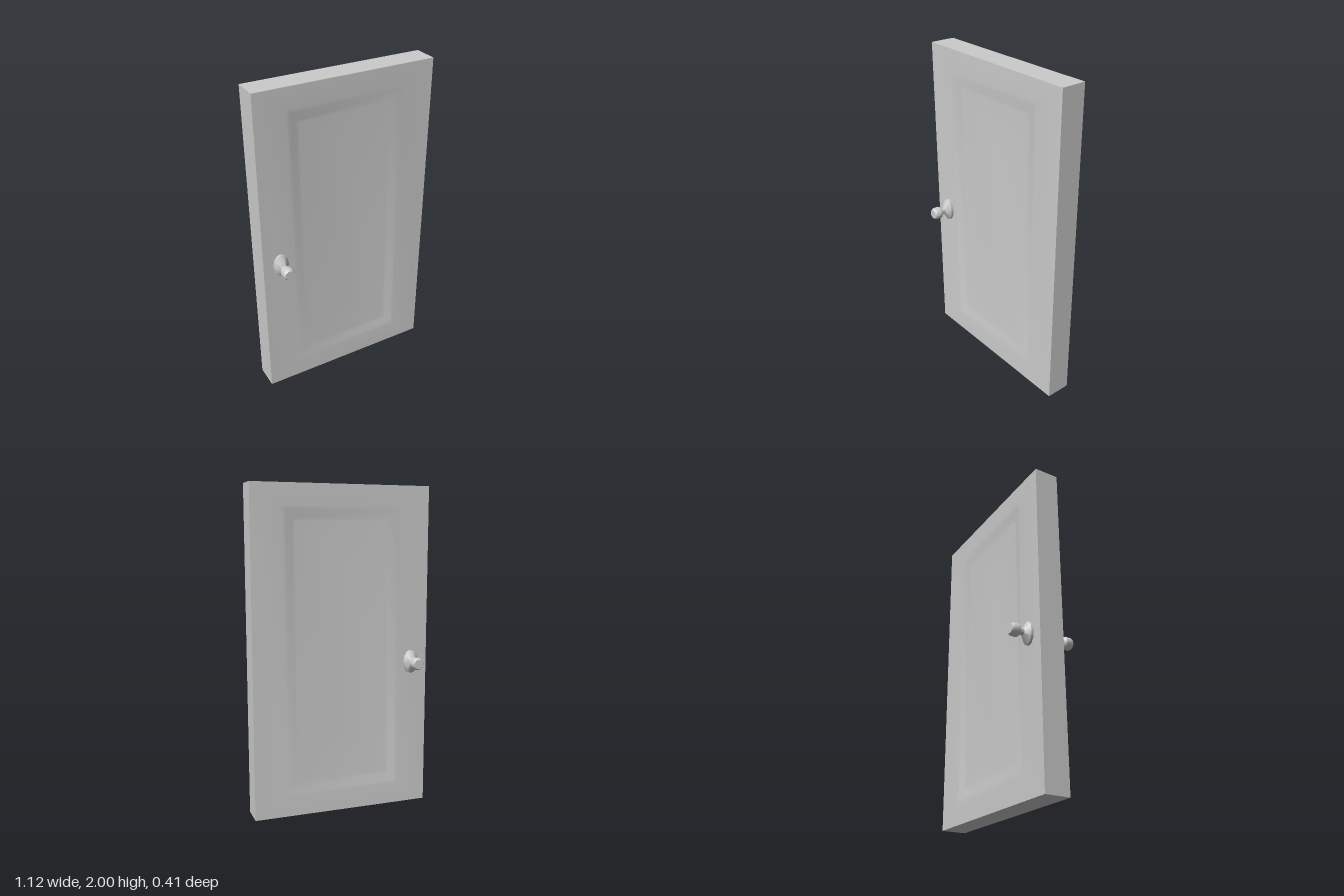
import * as THREE from 'three';
import { toCreasedNormals } from 'three/addons/utils/BufferGeometryUtils.js';

const material = new THREE.MeshStandardMaterial({ color: 0xcccccc });

// Door slab: rectangular rings lofted from the back centre, round the edge, to the front centre
function slabGeometry() {
  // half width, half height, z of each ring on the front face, centre outwards
  const front = [
    [0, 0.5, 0.062], [0.29, 0.78, 0.062], [0.31, 0.80, 0.064],
    [0.35, 0.85, 0.075], [0.37, 0.87, 0.077], [0.56, 1, 0.077],
  ];
  const back = front.map(([w, h, z]) => [w, h, -z]);
  const rings = [...back, ...front.reverse()];
  const positions = [];
  const index = [];
  for (const [w, h, z] of rings) {
    positions.push(-w, 1 - h, z, w, 1 - h, z, w, 1 + h, z, -w, 1 + h, z);
  }
  for (let r = 0; r < rings.length - 1; r++) {
    for (let i = 0; i < 4; i++) {
      const a = r * 4 + i, b = r * 4 + (i + 1) % 4;
      index.push(a, b, b + 4, a, b + 4, a + 4);
    }
  }
  const geometry = new THREE.BufferGeometry();
  geometry.setAttribute('position', new THREE.Float32BufferAttribute(positions, 3));
  geometry.setIndex(index);
  return toCreasedNormals(geometry, 0.9);
}

// Lathed part with its axis along z; wide radii can be stretched upright into an oval
function turned(name, profile, stretch = 1) {
  const points = profile.map(([r, z]) => new THREE.Vector2(r, z));
  const geometry = new THREE.LatheGeometry(points, 12).rotateX(Math.PI / 2);
  const p = geometry.attributes.position;
  for (let i = 0; i < p.count; i++) {
    if (Math.hypot(p.getX(i), p.getY(i)) > 0.03) p.setY(i, p.getY(i) * stretch);
  }
  const mesh = new THREE.Mesh(toCreasedNormals(geometry, 0.6), material);
  mesh.name = name;
  return mesh;
}

// Oval rosette, neck and chamfered grip
function doorKnob(name) {
  const knob = new THREE.Group();
  knob.name = name;
  knob.add(
    turned('rosette', [[0.047, 0.075], [0.047, 0.092], [0.02, 0.121]], 1.55),
    turned('neck', [[0.02, 0.119], [0.02, 0.147]]),
    turned('grip', [[0, 0.145], [0.026, 0.145], [0.038, 0.156], [0.038, 0.192], [0.03, 0.205], [0, 0.205]]),
  );
  knob.position.set(-0.45, 0.92, 0);
  return knob;
}

export function createModel() {
  const door = new THREE.Group();
  door.name = 'door';

  const slab = new THREE.Mesh(slabGeometry(), material);
  slab.name = 'panelledSlab';

  // One knob on each face
  const frontKnob = doorKnob('frontKnob');
  const backKnob = doorKnob('backKnob');
  backKnob.rotation.y = Math.PI;

  door.add(slab, frontKnob, backKnob);
  return door;
}
